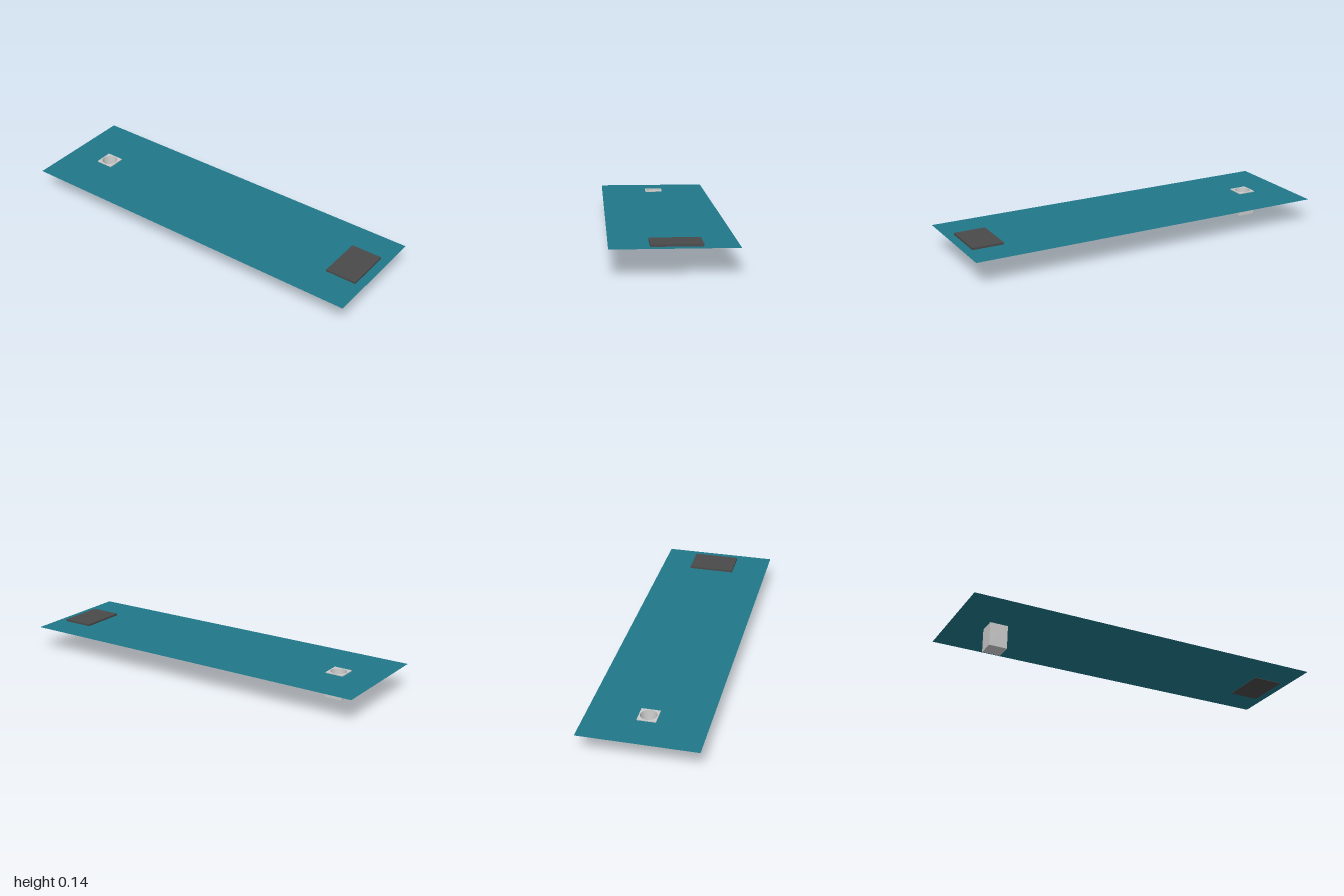
import * as THREE from 'three';

const material = (color, side = THREE.FrontSide) =>
  new THREE.MeshStandardMaterial({ color, side });

const rectangle = (x0, x1, y0, y1) => new THREE.Shape([
  new THREE.Vector2(x0, y0), new THREE.Vector2(x1, y0),
  new THREE.Vector2(x1, y1), new THREE.Vector2(x0, y1),
]);

const circle = (x, y, r) => new THREE.Path().absarc(x, y, r, 0, Math.PI * 2, true);

export function createModel() {
  const model = new THREE.Group();
  model.name = 'puttingGreen';
  const add = (parent, name, geometry, mat) => {
    const mesh = new THREE.Mesh(geometry, mat);
    mesh.name = name;
    parent.add(mesh);
    return mesh;
  };

  const grey = material(0xcccccc);
  const turfY = 0.13, cupX = 0.001, cupZ = -0.763;
  const half = 0.049, topY = 0.135, rim = 0.043, floorR = 0.036, floorY = 0.03;

  // Thin turf sheet, open where the cup sits
  const sheet = rectangle(-0.31, 0.31, -1, 1);
  sheet.holes.push(circle(cupX, -cupZ, rim + 0.002));
  const turf = add(model, 'turf', new THREE.ShapeGeometry(sheet, 32),
    material(0x20788a, THREE.DoubleSide));
  turf.rotation.x = -Math.PI / 2;
  turf.position.y = turfY;

  // Tee mat at the front end
  const mat = add(model, 'teeMat', new THREE.BoxGeometry(0.253, 0.014, 0.171), material(0x4a4a4a));
  mat.position.set(0.0135, 0.134, 0.866);

  // Square cup block: four sides and base, holed top, tapered recess
  const cup = new THREE.Group();
  cup.name = 'cup';
  cup.position.set(cupX, 0, cupZ);
  model.add(cup);

  const block = new THREE.CylinderGeometry(half * Math.SQRT2, half * Math.SQRT2, topY, 4, 1, true)
    .rotateY(Math.PI / 4).toNonIndexed();
  block.computeVertexNormals();
  add(cup, 'cupSides', block, grey).position.y = topY / 2;

  const base = add(cup, 'cupBase', new THREE.PlaneGeometry(half * 2, half * 2), grey);
  base.rotation.x = Math.PI / 2;

  const face = rectangle(-half, half, -half, half);
  face.holes.push(circle(0, 0, rim));
  const top = add(cup, 'cupTop', new THREE.ShapeGeometry(face, 32), grey);
  top.rotation.x = -Math.PI / 2;
  top.position.y = topY;

  const wall = new THREE.LatheGeometry(
    [new THREE.Vector2(floorR, floorY), new THREE.Vector2(rim, topY)], 64);
  add(cup, 'holeWall', wall, material(0xcccccc, THREE.DoubleSide));

  const floor = add(cup, 'holeFloor', new THREE.CircleGeometry(floorR, 64), grey);
  floor.rotation.x = -Math.PI / 2;
  floor.position.y = floorY;

  return model;
}
